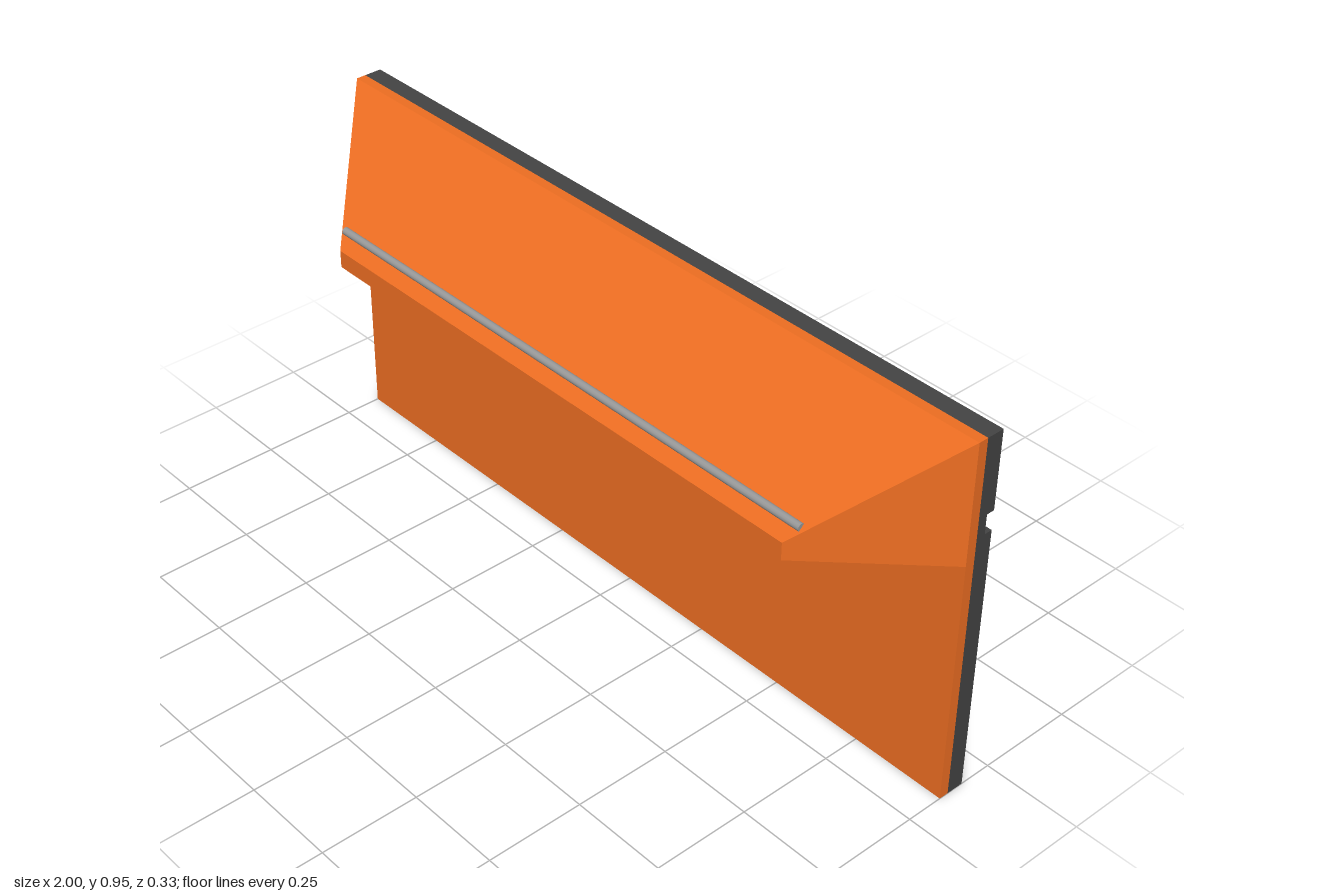
import * as THREE from 'three';

const orange = new THREE.MeshStandardMaterial({ color: 0xee6e22 });
const dark = new THREE.MeshStandardMaterial({ color: 0x444444 });
const grey = new THREE.MeshStandardMaterial({ color: 0x999999 });

const H = 0.95;
const Z_FRONT = -0.095, Z_MID = -0.12, Z_FLOOR = -0.126, Z_STEP = -0.144, Z_BACK = -0.165;

// vertical grooves open at the bottom: centre x, half width, top y, wall slant
const grooves = [];
for (const s of [-1, 1]) {
  for (const x of [0.76, 0.505, 0.255]) grooves.push({ x: s * x, w: 0.058, top: 0.91, slant: 0.02 });
  grooves.push({ x: s * 0.86, w: 0.029, top: 0.88, slant: 0 });
  grooves.push({ x: s * 0.15, w: 0.026, top: 0.885, slant: 0 });
}
grooves.push({ x: 0, w: 0.058, top: 0.91, slant: 0.02 });
grooves.sort((a, b) => a.x - b.x);

const toPoints = pts => pts.map(p => new THREE.Vector2(p[0], p[1]));

function rectPath(x, y, w, h) {
  return new THREE.Path(toPoints([
    [x - w / 2, y], [x - w / 2, y + h], [x + w / 2, y + h], [x + w / 2, y]]));
}

// wide head above a narrow slot
function keyhole(x, y) {
  return new THREE.Path(toPoints([
    [x - 0.01, y], [x - 0.01, y + 0.05], [x - 0.02, y + 0.06], [x - 0.02, y + 0.11],
    [x + 0.02, y + 0.11], [x + 0.02, y + 0.06], [x + 0.01, y + 0.05], [x + 0.01, y]]));
}

// slab cut from an x-y shape between two depths
function slab(shape, zBack, zFront) {
  const g = new THREE.ExtrudeGeometry(shape, { depth: zFront - zBack, bevelEnabled: false });
  return g.translate(0, 0, zBack);
}

// ribbed outline, optionally with a side notch at each end
function ribShape(notched) {
  const pts = [[-1, 0]];
  for (const g of grooves) {
    pts.push([g.x - g.w, 0], [g.x - g.w, g.top], [g.x + g.w, g.top], [g.x + g.w, 0]);
  }
  pts.push([1, 0]);
  if (notched) pts.push([1, 0.7], [0.905, 0.7], [0.905, 0.75], [1, 0.75]);
  pts.push([1, H], [-1, H]);
  if (notched) pts.push([-1, 0.75], [-0.905, 0.75], [-0.905, 0.7], [-1, 0.7]);
  const shape = new THREE.Shape(toPoints(pts));
  for (const s of [-1, 1]) {
    for (const x of [0.665, 0.345]) {
      shape.holes.push(keyhole(s * x, 0.69), keyhole(s * x, 0.1));
    }
    shape.holes.push(rectPath(s * 0.6, 0.8, 0.026, 0.035), rectPath(s * 0.6, 0.85, 0.026, 0.035));
    shape.holes.push(rectPath(s * 0.945, 0.77, 0.03, 0.13));
  }
  return shape;
}

// vertical prism from an x-z section
function prism(section, y0, y1) {
  const shape = new THREE.Shape(toPoints(section.map(p => [p[0], -p[1]])));
  const g = new THREE.ExtrudeGeometry(shape, { depth: y1 - y0, bevelEnabled: false });
  return g.rotateX(-Math.PI / 2).translate(0, y0, 0);
}

// hood with sloped top and splayed sides, from its corner points
function hoodGeometry() {
  const zl = 0.168, xl = 0.74, yb = 0.642, yl = 0.687;
  const c = [
    [-1, yb, Z_FRONT], [1, yb, Z_FRONT], [1, H, Z_FRONT], [-1, H, Z_FRONT],
    [-xl, yb, zl], [xl, yb, zl], [xl, yl, zl], [-xl, yl, zl]];
  const quads = [[4, 5, 6, 7], [7, 6, 2, 3], [5, 1, 2, 6], [0, 4, 7, 3], [0, 1, 5, 4]];
  const pos = [];
  for (const [a, b, d, e] of quads) for (const i of [a, b, d, a, d, e]) pos.push(...c[i]);
  const g = new THREE.BufferGeometry();
  g.setAttribute('position', new THREE.Float32BufferAttribute(pos, 3));
  g.computeVertexNormals();
  return g;
}

export function createModel() {
  const model = new THREE.Group();
  const add = (name, geometry, material, parent = model) => {
    const mesh = new THREE.Mesh(geometry, material);
    mesh.name = name;
    parent.add(mesh);
    return mesh;
  };

  // front panel and hood
  add('frontPanel', new THREE.BoxGeometry(2, H, Z_FRONT - Z_MID)
    .translate(0, H / 2, (Z_FRONT + Z_MID) / 2), orange);
  add('hood', hoodGeometry(), orange);

  // thin rod lying along the sloped hood top
  const rod = add('hoodRod', new THREE.CylinderGeometry(0.01, 0.01, 1.52, 12), grey);
  rod.rotation.z = Math.PI / 2;
  rod.position.set(0, 0.72, 0.135);

  // ribbed backing
  const backing = new THREE.Group();
  backing.name = 'backing';
  model.add(backing);
  const sheet = new THREE.Shape(toPoints([[-1, 0], [1, 0], [1, H], [-1, H]]));
  sheet.holes.push(rectPath(-0.01, 0.79, 0.04, 0.04));
  add('backingSheet', slab(sheet, Z_FLOOR, Z_MID), dark, backing);
  add('innerRibs', slab(ribShape(false), Z_STEP, Z_FLOOR), dark, backing);
  add('outerRibs', slab(ribShape(true), Z_BACK, Z_STEP), dark, backing);

  // slanted groove walls
  for (const g of grooves.filter(q => q.slant)) {
    for (const s of [-1, 1]) {
      const x = g.x + s * g.w;
      const section = [[x, Z_FLOOR], [x - s * g.slant, Z_FLOOR], [x, Z_BACK]];
      add('grooveWall', prism(section, 0, g.top), dark, backing);
    }
  }

  // raised rim around the small window in the middle groove
  const rim = new THREE.Shape(toPoints([[-0.038, 0.77], [0.02, 0.77], [0.02, 0.85], [-0.038, 0.85]]));
  rim.holes.push(rectPath(-0.01, 0.79, 0.04, 0.04));
  add('windowRim', slab(rim, -0.14, Z_FLOOR), dark, backing);

  return model;
}
